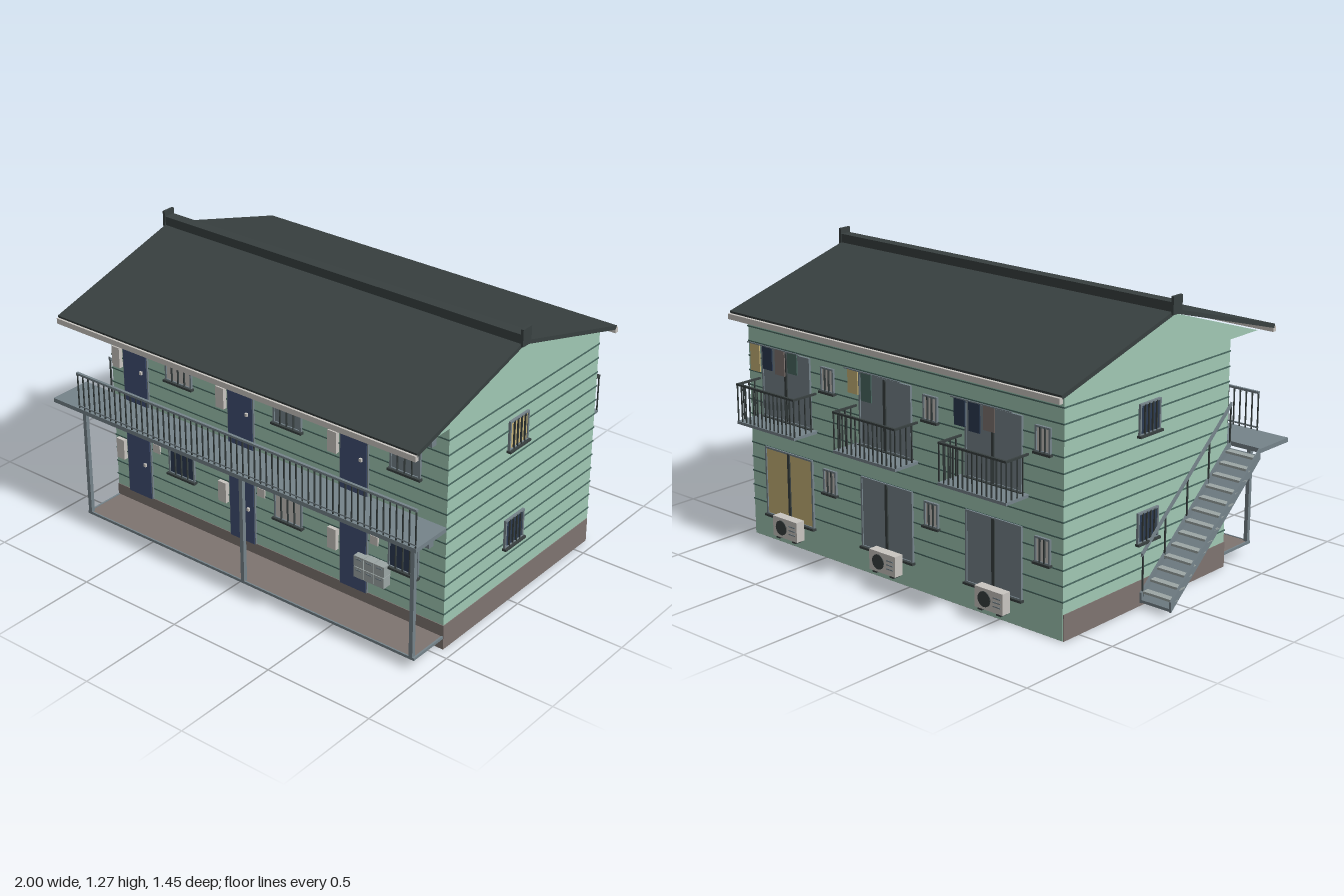
import * as THREE from 'three';

const mat = (name, color) => Object.assign(new THREE.MeshStandardMaterial({ color }), { name });
const M = {
  mint: mat('mint siding', 0xa0c8b4),
  groove: mat('dark green', 0x4a6a62),
  brown: mat('foundation brown', 0x7e7470),
  roof: mat('roof charcoal', 0x384040),
  slate: mat('slate metal', 0x75838a),
  white: mat('off white', 0xc9c5c0),
  door: mat('door blue', 0x414f73),
  navy: mat('dark glass', 0x2b3a52),
  tan: mat('curtain tan', 0xc8b478),
  grey: mat('light grey', 0x9ca6a5),
};

// Box given by its extents
function box(parent, name, m, x0, x1, y0, y1, z0, z1) {
  const mesh = new THREE.Mesh(new THREE.BoxGeometry(x1 - x0, y1 - y0, z1 - z0), m);
  mesh.position.set((x0 + x1) / 2, (y0 + y1) / 2, (z0 + z1) / 2);
  mesh.name = name;
  parent.add(mesh);
  return mesh;
}

function group(parent, name, x = 0, y = 0, z = 0, ry = 0) {
  const g = new THREE.Group();
  g.name = name;
  g.position.set(x, y, z);
  g.rotation.y = ry;
  parent.add(g);
  return g;
}

// Profile in (z, y) extruded along x
function extrudeX(parent, name, m, points, x0, x1) {
  const shape = new THREE.Shape(points.map(([z, y]) => new THREE.Vector2(z, y)));
  const mesh = new THREE.Mesh(new THREE.ExtrudeGeometry(shape, { depth: x1 - x0, bevelEnabled: false }), m);
  mesh.rotation.y = -Math.PI / 2;
  mesh.position.x = x1;
  mesh.name = name;
  parent.add(mesh);
}

// Framed window centred on its group origin, facing local +z
function windowUnit(parent, name, glass, w, h, bars, x, y, z, ry, sill = true) {
  const g = group(parent, name, x, y, z, ry), a = w / 2, b = h / 2, t = 0.008;
  box(g, 'glass', glass, -a, a, -b, b, 0, 0.006);
  for (const s of [-1, 1]) {
    box(g, 'frameSide', M.slate, s * a - t / 2, s * a + t / 2, -b, b, 0, 0.011);
    box(g, 'frameRail', M.slate, -a - t / 2, a + t / 2, s * b - t / 2, s * b + t / 2, 0, 0.011);
  }
  for (let i = 1; i <= bars; i++) {
    const bx = -a + (w * i) / (bars + 1);
    box(g, 'bar', M.roof, bx - 0.002, bx + 0.002, -b, b, 0.005, 0.014);
  }
  if (sill) box(g, 'sill', M.roof, -a - 0.01, a + 0.01, -b - 0.01, -b, 0, 0.02);
}

const X0 = -0.83, X1 = 0.95, ZF = 0.456, ZB = -0.597;
const UNIT = 0.593, STOREY = 0.45;

function addBody(root) {
  const g = group(root, 'body');
  box(g, 'walls', M.mint, X0, X1, 0.002, 1.02, ZB, ZF);
  box(g, 'foundation', M.brown, X0 - 0.003, X1 + 0.003, 0, 0.112, ZB + 0.003, ZF + 0.003);
  // Siding joints
  for (let y = 0.165; y < 1.0; y += 0.0655) {
    box(g, 'sidingJoint', M.groove, X0 - 0.003, X1 + 0.003, y - 0.003, y + 0.003, ZB - 0.003, ZF + 0.003);
  }
  // Gable ends, reaching out over the walkway
  const gable = [[0.65, 1.0], [0.027, 1.2], [ZB, 1.0]];
  extrudeX(g, 'gable', M.mint, gable, X0, X0 + 0.03);
  extrudeX(g, 'gable', M.mint, gable, X1 - 0.03, X1);
}

function addRoof(root) {
  const g = group(root, 'roof');
  extrudeX(g, 'roofSlopes', M.roof,
    [[0.027, 1.218], [-0.662, 1.022], [-0.657, 1.004], [0.027, 1.2], [0.712, 1.004], [0.717, 1.022]], -0.87, 0.99);
  box(g, 'ridge', M.roof, -0.87, 0.99, 1.2, 1.25, 0.002, 0.052);
  for (const x of [-0.873, 0.993]) box(g, 'ridgeCap', M.roof, x - 0.006, x + 0.006, 1.2, 1.275, -0.002, 0.056);
  box(g, 'frontGutter', M.white, -0.87, 0.99, 0.988, 1.012, 0.705, 0.724);
  box(g, 'backGutter', M.white, -0.87, 0.99, 0.988, 1.012, -0.673, -0.654);
}

function addFront(root) {
  const g = group(root, 'frontFittings');
  const glass = [[M.navy, M.white, M.navy], [M.white, M.slate, M.slate]];
  for (let f = 0; f < 2; f++) for (let i = 0; i < 3; i++) {
    const u = group(g, 'frontUnit', -0.685 + i * UNIT, f * STOREY, ZF);
    box(u, 'door', M.door, -0.066, 0.066, 0.112, 0.445, 0, 0.012);
    for (const s of [-1, 1]) box(u, 'doorFrame', M.slate, s * 0.068 - 0.003, s * 0.068 + 0.003, 0.112, 0.448, 0, 0.009);
    box(u, 'doorKnob', M.white, 0.034, 0.046, 0.27, 0.284, 0.012, 0.022);
    box(u, 'meterBox', M.white, -0.126, -0.082, 0.262, 0.358, 0, 0.02);
    box(u, 'intercom', M.white, 0.082, 0.122, 0.355, 0.395, 0, 0.007);
    box(u, 'ventHood', M.slate, 0.338, 0.39, 0.46, 0.498, 0, 0.03);
    windowUnit(u, 'frontWindow', glass[f][i], 0.14, 0.122, 3, 0.25, 0.352, 0, 0);
  }
  // Mailbox cluster
  const m = group(g, 'mailboxes', 0.53, 0.195, ZF);
  for (let c = 0; c < 3; c++) for (let r = 0; r < 2; r++) {
    const x = c * 0.052, y = r * 0.052;
    box(m, 'mailbox', M.grey, x, x + 0.049, y, y + 0.049, 0, 0.043);
    box(m, 'mailSlot', M.slate, x + 0.01, x + 0.039, y + 0.034, y + 0.039, 0.043, 0.045);
  }
}

function addWalkway(root) {
  const g = group(root, 'walkway');
  box(g, 'porchFloor', M.brown, X0, X1, 0.05, 0.06, ZF, 0.645);
  box(g, 'porchEdge', M.slate, X0, X1, 0.05, 0.062, 0.645, 0.652);
  for (const x of [X0, X1 - 0.006]) box(g, 'porchEdge', M.slate, x - 0.001, x + 0.007, 0.05, 0.062, ZF, 0.652);
  box(g, 'upperDeck', M.slate, -1, X1, 0.546, 0.565, ZF, 0.654);
  for (const x of [-0.818, 0.066, 0.934]) box(g, 'post', M.slate, x - 0.009, x + 0.009, 0.06, 0.55, 0.634, 0.652);
  // Railing
  box(g, 'topRail', M.slate, -0.85, X1, 0.727, 0.737, 0.643, 0.655);
  box(g, 'bottomRail', M.slate, -0.85, X1, 0.575, 0.581, 0.646, 0.652);
  for (let i = 0; i <= 58; i++) {
    const x = -0.847 + i * 0.0309;
    box(g, 'baluster', M.roof, x - 0.0025, x + 0.0025, 0.56, 0.73, 0.6465, 0.6515);
  }
}

function addStairs(root) {
  const g = group(root, 'stairs'), n = 13, z0 = ZF, y0 = 0.555, dz = 0.585 / n, dy = 0.5 / n;
  const slope = (name, m, x0, x1, lift, t) => extrudeX(g, name, m,
    [[z0, y0 + lift], [z0 - 0.585, y0 - 0.5 + lift], [z0 - 0.585, y0 - 0.5 + lift - t], [z0, y0 + lift - t]], x0, x1);
  slope('stairPan', M.slate, -0.99, -0.85, -0.02, 0.012);
  slope('stringer', M.slate, -1, -0.99, 0.01, 0.045);
  slope('stringer', M.slate, -0.85, -0.84, 0.01, 0.045);
  for (let i = 0; i < n; i++) {
    const z = z0 - i * dz, y = y0 - (i + 0.6) * dy;
    box(g, 'tread', M.grey, -1, -0.842, y - 0.01, y, z - 0.036, z);
  }
  slope('handrail', M.slate, -0.852, -0.842, 0.18, 0.014);
  for (let i = 0; i <= 4; i++) {
    const z = z0 - 0.004 - i * 0.143, y = y0 - i * 0.1222;
    box(g, 'railPost', M.roof, -0.85, -0.844, y - 0.02, y + 0.168, z - 0.003, z + 0.003);
  }
}

// Rear balcony, sliding doors, laundry and cooling unit; local +z points away from the wall
function addBack(root) {
  const cloths = [
    [[M.tan, 0.12], [M.navy, 0.1], [M.brown, 0.11], [M.groove, 0.09]],
    [[M.tan, 0.1], [M.groove, 0.12]],
    [[M.navy, 0.11], [M.navy, 0.12], [M.brown, 0.1]],
  ];
  const g = group(root, 'backFittings');
  for (let i = 0; i < 3; i++) {
    const u = group(g, 'backUnit', 0.71 - i * UNIT, 0, ZB, Math.PI);
    for (let f = 0; f < 2; f++) {
      const y = f * STOREY;
      windowUnit(u, 'slidingDoor', i === 0 && f === 0 ? M.tan : M.slate, 0.29, 0.305, 0, 0, 0.272 + y, 0, 0);
      box(u, 'doorMullion', M.roof, -0.007, 0.007, 0.12 + y, 0.424 + y, 0.004, 0.012);
      windowUnit(u, 'smallWindow', M.white, 0.07, 0.1, 2, 0.255, 0.355 + y, 0, 0);
    }
    // Balcony
    const b = group(u, 'balcony'), w = 0.179, d = 0.128;
    box(b, 'balconyFloor', M.slate, -w, w, 0.553, 0.566, 0, 0.134);
    box(b, 'balconyRail', M.roof, -w, w, 0.724, 0.733, d - 0.005, d + 0.005);
    for (let k = 0; k <= 14; k++) {
      const x = -w + 0.003 + (k * (2 * w - 0.006)) / 14;
      box(b, 'baluster', M.roof, x - 0.0025, x + 0.0025, 0.56, 0.73, d - 0.0025, d + 0.0025);
    }
    for (const s of [-1, 1]) {
      const x = s * (w - 0.004);
      box(b, 'sideRail', M.roof, x - 0.004, x + 0.004, 0.724, 0.733, 0, d);
      for (let k = 1; k < 4; k++) box(b, 'baluster', M.roof, x - 0.0025, x + 0.0025, 0.56, 0.73, k * 0.032 - 0.0025, k * 0.032 + 0.0025);
    }
    // Laundry
    box(u, 'laundryPole', M.slate, -0.16, 0.16, 0.908, 0.913, 0.075, 0.08);
    cloths[i].forEach(([m, h], k) => {
      const x = -0.14 + k * 0.077;
      box(u, 'laundry', m, x, x + 0.058, 0.91 - h, 0.91, 0.075, 0.08);
    });
    // Cooling unit
    const a = group(u, 'coolingUnit', 0.03, 0, 0);
    box(a, 'casing', M.white, -0.075, 0.075, 0.06, 0.15, 0.026, 0.07);
    for (const s of [-1, 1]) box(a, 'foot', M.roof, s * 0.05 - 0.012, s * 0.05 + 0.012, 0.05, 0.06, 0.03, 0.066);
    const fan = new THREE.Mesh(new THREE.CylinderGeometry(0.033, 0.033, 0.005, 20), M.roof);
    fan.name = 'fan';
    fan.rotation.x = Math.PI / 2;
    fan.position.set(-0.022, 0.105, 0.071);
    a.add(fan);
    for (let k = 0; k < 3; k++) box(a, 'louvre', M.slate, 0.025, 0.064, 0.085 + k * 0.018, 0.09 + k * 0.018, 0.07, 0.072);
  }
}

function addSideWindows(root) {
  const g = group(root, 'sideWindows');
  for (let f = 0; f < 2; f++) {
    const y = 0.34 + f * 0.455;
    windowUnit(g, 'sideWindow', f ? M.tan : M.navy, 0.125, 0.125, 4, X1, y, -0.012, Math.PI / 2);
    windowUnit(g, 'sideWindow', M.navy, 0.125, 0.125, 4, X0, y, -0.08, -Math.PI / 2);
  }
}

export function createModel() {
  const root = new THREE.Group();
  root.name = 'apartmentHouse';
  for (const add of [addBody, addRoof, addFront, addWalkway, addStairs, addBack, addSideWindows]) add(root);
  return root;
}
